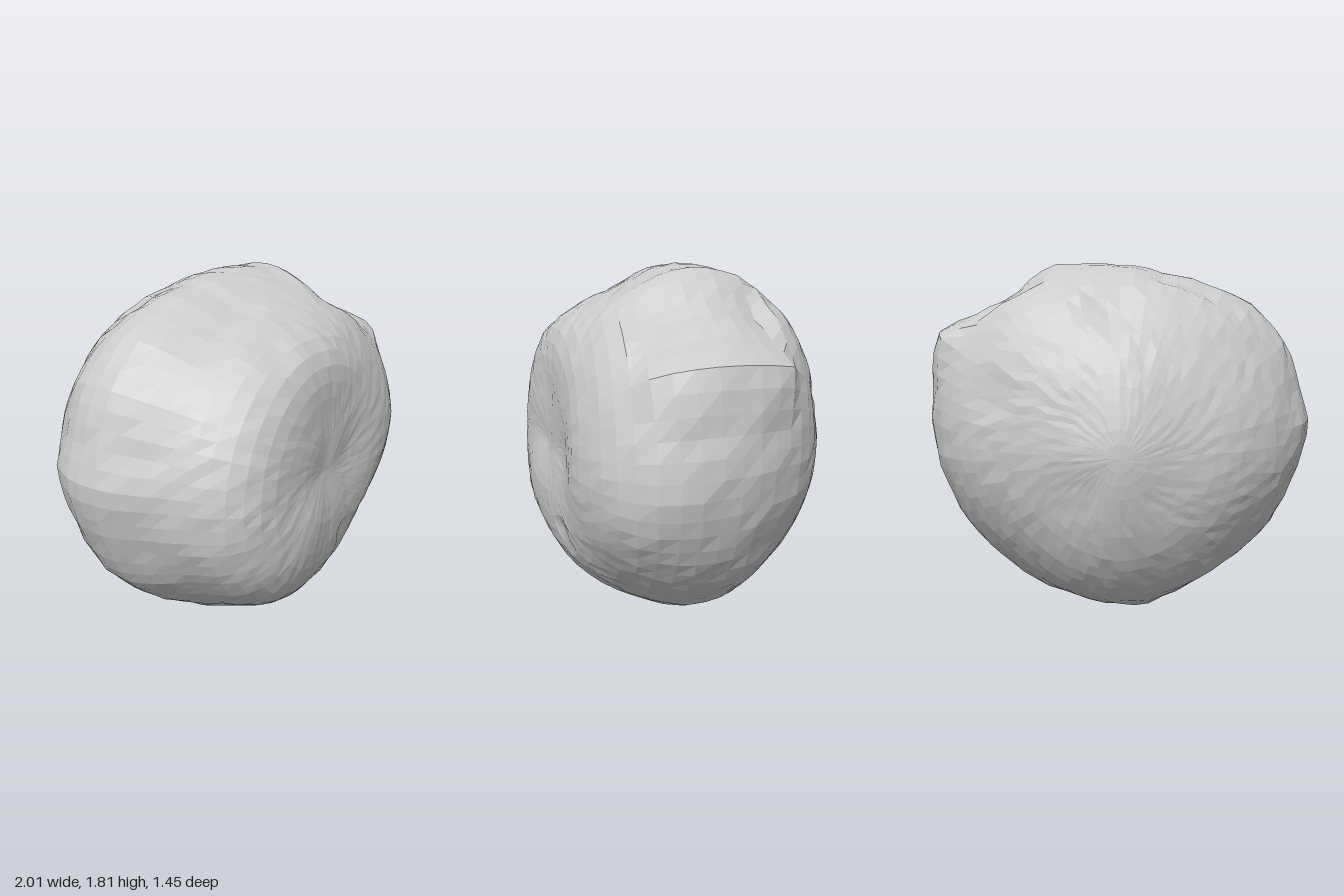
import * as THREE from 'three';

// Radii from the core: one row per 45 degrees round the z axis (starting at +x, then +y),
// columns run from the front pole to the back pole in steps of 22.5 degrees.
const SECTIONS = [
  [0.635, 0.66, 0.86, 1.04, 1.00, 0.92, 0.80, 0.735, 0.74],
  [0.635, 0.67, 0.81, 0.94, 1.00, 0.945, 0.81, 0.73, 0.74],
  [0.635, 0.68, 0.81, 0.81, 0.875, 0.845, 0.77, 0.735, 0.74],
  [0.635, 0.72, 0.86, 0.87, 0.96, 0.87, 0.77, 0.72, 0.74],
  [0.635, 0.74, 0.91, 0.92, 0.985, 0.90, 0.80, 0.72, 0.74],
  [0.635, 0.77, 0.91, 0.87, 0.90, 0.86, 0.79, 0.73, 0.74],
  [0.635, 0.73, 0.85, 0.89, 0.92, 0.89, 0.81, 0.75, 0.74],
  [0.635, 0.69, 0.82, 0.88, 0.915, 0.845, 0.775, 0.72, 0.74],
];

// Outline around the middle as [degrees, radius], with the chipped corner at 29 to 69 degrees.
const OUTLINE = [
  [0, 0.995], [15, 1.015], [29.5, 1.088], [40, 0.973], [52, 0.9], [63, 0.93], [69, 0.943],
  [76, 0.9], [90, 0.875], [105, 0.863], [120, 0.9], [135, 0.96], [150, 0.99], [165, 0.98],
  [175, 1.0], [180, 0.99], [195, 0.95], [210, 0.935], [225, 0.9], [240, 0.885], [255, 0.91],
  [262, 0.93], [270, 0.92], [285, 0.91], [300, 0.915], [315, 0.92], [330, 0.945], [345, 0.965],
  [360, 0.995],
];

// Shallow pits: direction, angular radius, depth
const PITS = [
  [new THREE.Vector3(0.03, 0.62, -0.45), 0.2, 0.03],
  [new THREE.Vector3(-0.28, 0.62, 0.5), 0.16, 0.015],
  [new THREE.Vector3(0.2, -0.4, 0.6), 0.12, 0.02],
  [new THREE.Vector3(0.6, 0.25, -0.55), 0.15, 0.02],
].map(([v, a, d]) => [v.normalize(), a, d]);

const cubic = (a, b, c, d, t) =>
  b + 0.5 * t * (c - a + t * (2 * a - 5 * b + 4 * c - d + t * (3 * (b - c) + d - a)));

function sampleRow(row, u) {
  const i = Math.min(7, Math.floor(u));
  const at = (k) => row[k < 0 ? 1 : k > 8 ? 7 : k];
  return cubic(at(i - 1), at(i), at(i + 1), at(i + 2), u - i);
}

function sampleSections(turn, u) {
  const v = turn * 8, i = Math.floor(v);
  const at = (k) => sampleRow(SECTIONS[(k + 8) % 8], u);
  return cubic(at(i - 1), at(i), at(i + 1), at(i + 2), v - i);
}

function sampleOutline(turn) {
  const deg = turn * 360;
  const i = OUTLINE.findIndex(([d]) => d > deg);
  const [d0, r0] = OUTLINE[i - 1], [d1, r1] = OUTLINE[i];
  return THREE.MathUtils.lerp(r0, r1, (deg - d0) / (d1 - d0));
}

// Repeatable roughness, the same for equal grid positions
function rough(i, j) {
  const s = Math.sin(i * 12.9898 + j * 78.233) * 43758.5453;
  return s - Math.floor(s) - 0.5;
}

export function createModel() {
  const group = new THREE.Group();
  const around = 72, along = 36;
  const geometry = new THREE.SphereGeometry(1, around, along).rotateX(Math.PI / 2);
  const pos = geometry.attributes.position;
  const dir = new THREE.Vector3();

  for (let n = 0; n < pos.count; n++) {
    dir.fromBufferAttribute(pos, n).normalize();
    const col = (n % (around + 1)) % around;
    const row = Math.floor(n / (around + 1));
    const polar = Math.acos(THREE.MathUtils.clamp(dir.z, -1, 1));
    const turn = (Math.atan2(dir.y, dir.x) / (2 * Math.PI) + 1) % 1;
    const u = (polar / Math.PI) * 8;
    const s = Math.sin(polar);

    // Broad shape; the chipped outline fades gently forwards and stops sharply at the back
    let r = sampleSections(turn, u);
    const band = dir.z > 0
      ? THREE.MathUtils.smoothstep(s, 0.89, 0.97)
      : THREE.MathUtils.smoothstep(s, 0.93, 0.965);
    r += (sampleOutline(turn) - sampleSections(turn, 4)) * band;

    // Pits and fine facets
    for (const [axis, size, depth] of PITS) {
      const a = dir.angleTo(axis) / size;
      if (a < 1) r -= depth * (1 - a * a);
    }
    r += s * 0.01 * rough(col, row);
    pos.setXYZ(n, dir.x * r, dir.y * r, dir.z * r);
  }

  // Stand the rock on the ground
  geometry.computeBoundingBox();
  geometry.translate(0, -geometry.boundingBox.min.y, 0);
  geometry.computeVertexNormals();

  const rock = new THREE.Mesh(
    geometry,
    new THREE.MeshStandardMaterial({ color: 0xcccccc, flatShading: true })
  );
  rock.name = 'asteroid';
  group.add(rock);
  return group;
}
